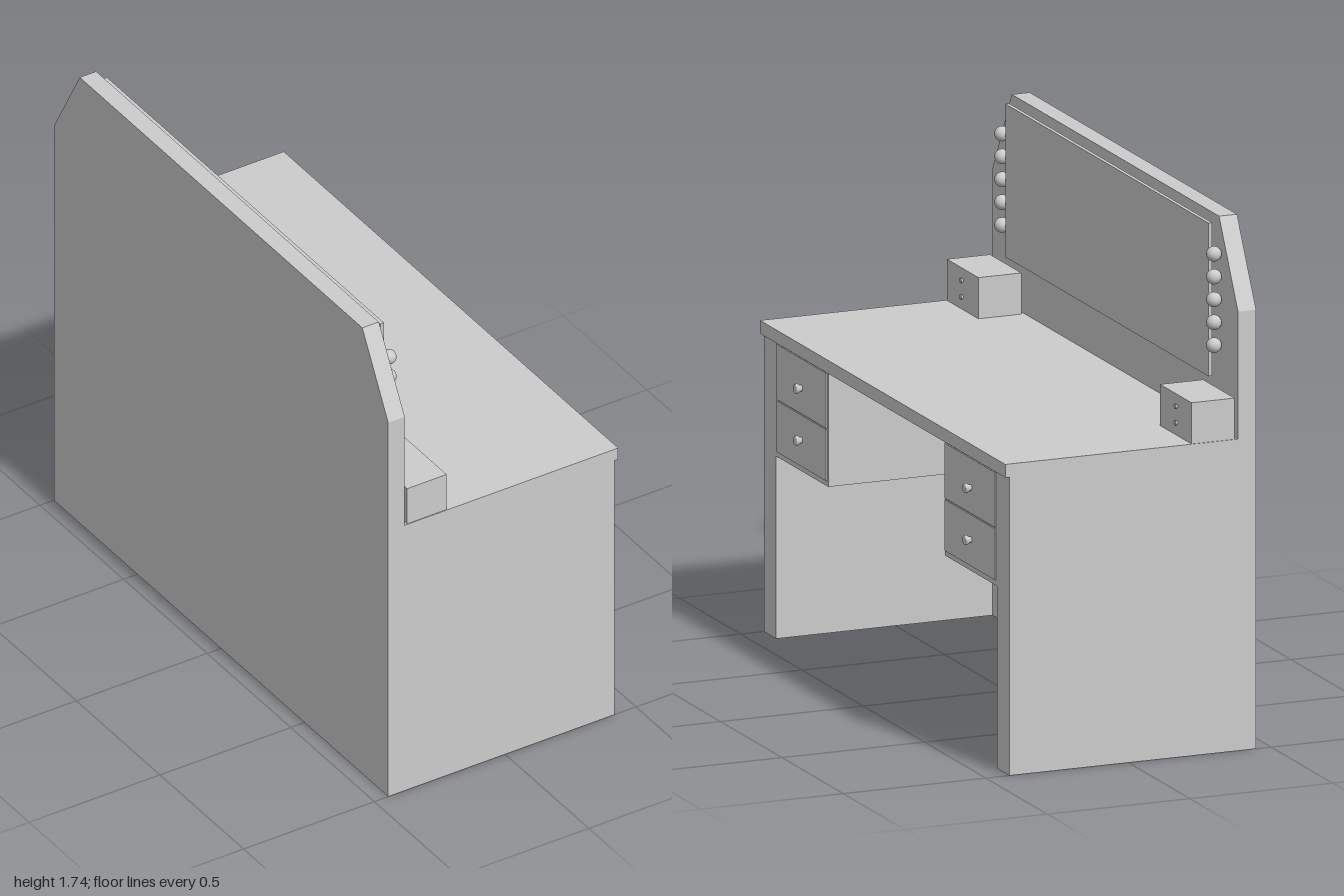
import * as THREE from 'three';

export function createModel() {
  const desk = new THREE.Group();
  desk.name = 'vanityDesk';
  const mat = new THREE.MeshStandardMaterial({ color: 0xcccccc });

  function add(name, geometry, parent = desk) {
    const mesh = new THREE.Mesh(geometry, mat);
    mesh.name = name;
    parent.add(mesh);
    return mesh;
  }
  // Box given by its limits on each axis
  function box(name, [x0, x1], [y0, y1], [z0, z1], parent) {
    const mesh = add(name, new THREE.BoxGeometry(x1 - x0, y1 - y0, Math.abs(z1 - z0)), parent);
    mesh.position.set((x0 + x1) / 2, (y0 + y1) / 2, (z0 + z1) / 2);
  }
  // Turned knob: neck flaring to a wider head, pointing along +x
  function knob(name, x, y, z, r, length, parent) {
    const profile = [[0, 0], [0.6, 0], [0.7, 0.35], [1, 0.6], [1, 0.9], [0.85, 1], [0, 1]]
      .map(([a, b]) => new THREE.Vector2(a * r, b * length));
    const mesh = add(name, new THREE.LatheGeometry(profile, 16), parent);
    mesh.rotation.z = -Math.PI / 2;
    mesh.position.set(x, y, z);
  }

  // Tall back panel with clipped upper corners
  const outline = new THREE.Shape([
    [-1, 0], [1, 0], [1, 1.461], [0.845, 1.742], [-0.845, 1.742], [-1, 1.461],
  ].map(([z, y]) => new THREE.Vector2(z, y)));
  const back = add('backPanel', new THREE.ExtrudeGeometry(outline, { depth: 0.063, bevelEnabled: false }));
  back.rotation.y = Math.PI / 2;
  back.position.x = -0.447;

  // Thicker lower back in the knee space, table top and mirror
  box('lowerBack', [-0.384, -0.34], [0, 0.993], [-0.9, 0.9]);
  box('tableTop', [-0.384, 0.432], [0.993, 1.037], [-1, 1]);
  box('mirror', [-0.367, -0.354], [1.208, 1.718], [-0.828, 0.828]);

  for (const s of [1, -1]) {
    // Side panel
    box('sidePanel', [-0.384, 0.418], [0, 0.993], [s * 0.9, s]);

    // Hanging drawer unit under the top, its front just proud of the side panel
    const unit = new THREE.Group();
    unit.name = 'drawerUnit';
    desk.add(unit);
    box('drawerCase', [-0.175, 0.418], [0.607, 0.993], [s * 0.475, s * 0.9], unit);
    for (const [y0, y1, knobY] of [[0.625, 0.795, 0.713], [0.8, 0.983, 0.886]]) {
      box('drawerFront', [0.41, 0.422], [y0, y1], [s * 0.483, s * 0.892], unit);
      knob('drawerKnob', 0.42, knobY, s * 0.69 - 0.005, 0.016, 0.026, unit);
    }

    // Small chest standing on the top
    const chest = new THREE.Group();
    chest.name = 'smallChest';
    desk.add(chest);
    box('chestCase', [-0.373, -0.222], [1.037, 1.174], [s * 0.74, s * 0.997], chest);
    for (const y of [1.08, 1.135]) {
      knob('chestKnob', -0.222, y, s > 0 ? 0.866 : -0.882, 0.009, 0.01, chest);
    }

    // Column of bulbs beside the mirror
    for (let i = 0; i < 5; i++) {
      const bulb = add('bulb', new THREE.SphereGeometry(0.025, 24, 16));
      bulb.position.set(-0.359, (s > 0 ? 1.305 : 1.319) + i * 0.076, s > 0 ? 0.866 : -0.861);
    }
  }
  return desk;
}
